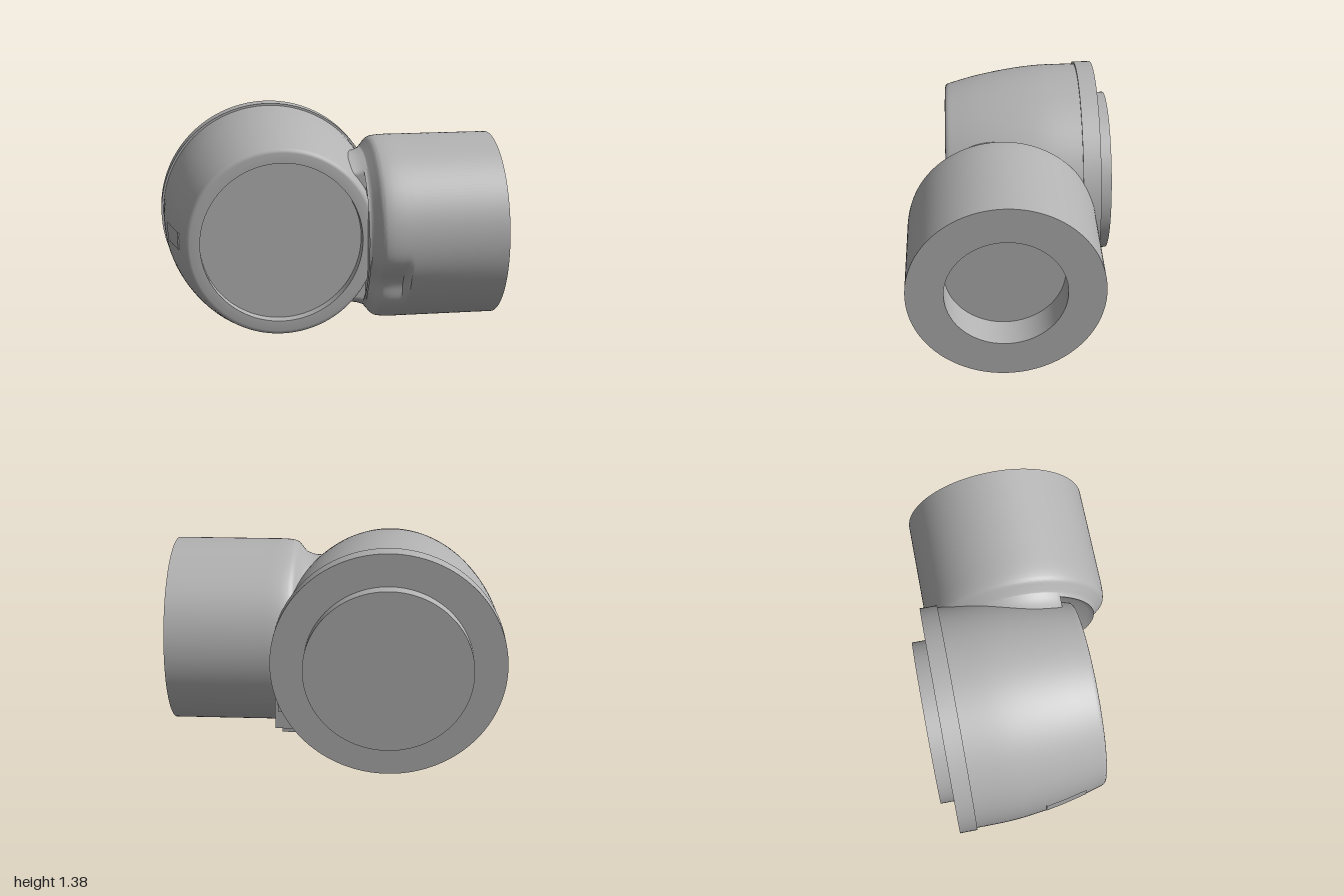
import * as THREE from 'three';
import { toCreasedNormals } from 'three/addons/utils/BufferGeometryUtils.js';

const CY = 0.695;      // height of both axes
const BODY_X = -0.31;  // axis of the main body, along z
const ARM_Z = 0.055;   // axis of the side socket, along x

export function createModel() {
  const model = new THREE.Group();
  const grey = new THREE.MeshStandardMaterial({ color: 0xb2b2b2 });
  grey.name = 'plain grey';

  const add = (name, geometry, x, y, z) => {
    const mesh = new THREE.Mesh(geometry, grey);
    mesh.name = name;
    mesh.position.set(x, y, z);
    model.add(mesh);
    return mesh;
  };
  // profile entries are [radius, distance along the axis]
  const lathe = (profile, phi = 0, arc = Math.PI * 2, segs = 128) =>
    new THREE.LatheGeometry(profile.map(([r, a]) => new THREE.Vector2(r, a)), segs, phi, arc);
  const smoothCurve = (pts, n) => new THREE.SplineCurve(pts.map(([r, a]) => new THREE.Vector2(r, a)))
    .getPoints(n).map(p => [p.x, p.y]);

  // Bulging body, rounded lip and shallow front recess
  const side = smoothCurve([[0.677, -0.425], [0.673, -0.2], [0.65, 0], [0.611, 0.2], [0.567, 0.36]], 20);
  const body = lathe([
    ...side, [0.562, 0.373], [0.553, 0.381], [0.54, 0.384],
    [0.48, 0.384], [0.48, 0.315], [0, 0.315],
  ]);
  add('body', toCreasedNormals(body.rotateX(Math.PI / 2), 0.6), BODY_X, CY, 0);

  // Rear flange and raised disc
  const flange = lathe([
    [0, -0.612], [0.495, -0.612], [0.495, -0.53], [0.69, -0.53], [0.69, -0.425], [0.67, -0.425],
  ]);
  add('rearFlange', toCreasedNormals(flange.rotateX(Math.PI / 2), 0.6), BODY_X, CY, 0);

  // Small raised plate following the left flank of the body
  const plate = lathe([
    [0.63, 0], [0.659, 0], [0.636, 0.12], [0.605, 0.25], [0.58, 0.25],
  ], Math.PI * 1.5 - 0.085, 0.17, 6);
  add('flankPlate', toCreasedNormals(plate.rotateX(Math.PI / 2), 0.6), BODY_X, CY, 0);

  // Side socket: rounded shoulder, straight barrel, blind bore
  const shoulder = smoothCurve([
    [0.475, 0.185], [0.482, 0.205], [0.512, 0.232], [0.545, 0.262], [0.556, 0.3], [0.56, 0.36], [0.56, 0.44],
  ], 28);
  const arm = lathe([
    [0, 0.2], [0.3, 0.2], [0.44, 0.2], ...shoulder,
    [0.56, 1], [0.345, 1], [0.345, 0.8], [0, 0.8],
  ], 0, Math.PI * 2, 160).rotateZ(-Math.PI / 2);
  const pos = arm.attributes.position;
  for (let i = 0; i < pos.count; i++) {
    const x = pos.getX(i), y = pos.getY(i), z = pos.getZ(i);
    // Shallow hollow low on the front of the shoulder
    if (x > 0.2 && x < 0.43 && z > 0) {
      const k = Math.exp(-(((y + 0.24) / 0.1) ** 2)) * Math.min(1, (0.43 - x) / 0.04);
      pos.setZ(i, z * (1 - 0.13 * k));
    }
  }
  add('sideSocket', toCreasedNormals(arm, 0.6), 0, CY, ARM_Z);

  // Fillet neck between body and socket, flattened behind the front lip
  const neck = lathe(smoothCurve([[0.47, -0.02], [0.465, 0.1], [0.468, 0.16], [0.485, 0.21]], 12))
    .rotateZ(-Math.PI / 2);
  const np = neck.attributes.position;
  for (let i = 0; i < np.count; i++) np.setZ(i, Math.min(np.getZ(i), 0.25));
  neck.computeVertexNormals();
  add('neck', neck, 0, CY, ARM_Z);

  // Stop blocks in the gap behind the socket
  add('stopBlock', new THREE.BoxGeometry(0.14, 0.23, 0.17), 0.29, 0.37, -0.37);
  add('stopTab', new THREE.BoxGeometry(0.06, 0.14, 0.12), 0.31, 0.45, -0.43);
  add('stopFoot', new THREE.BoxGeometry(0.1, 0.03, 0.15), 0.27, 0.24, -0.365);

  return model;
}
